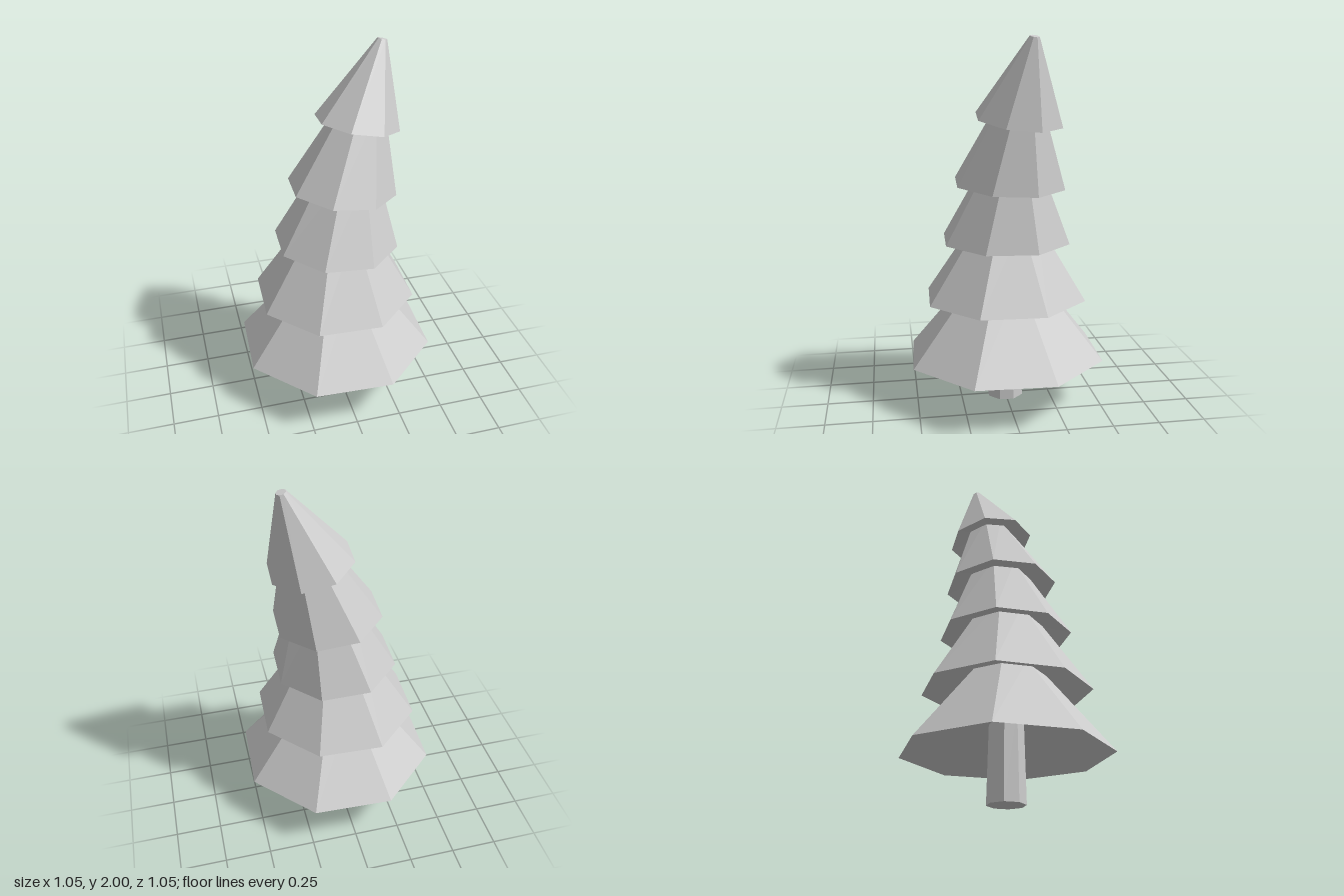
import * as THREE from 'three';

const SIDES = 8;
const TURN = THREE.MathUtils.degToRad(24.7);

// One octagonal cross-section: centre, radius, slope along x and z, squash in x.
function ring(x, y, z, r, sx = 0, sz = 0, squash = 1) {
  const points = [];
  for (let i = 0; i < SIDES; i++) {
    const a = TURN + (i / SIDES) * Math.PI * 2;
    const dx = r * squash * Math.cos(a);
    const dz = r * Math.sin(a);
    points.push(new THREE.Vector3(x + dx, y + sx * dx + sz * dz, z + dz));
  }
  return { points, r };
}

// Skin a stack of cross-sections; a ring of radius 0 closes to a point.
function loft(rings) {
  const pos = [];
  const tri = (a, b, c) => pos.push(...a.toArray(), ...b.toArray(), ...c.toArray());
  for (let k = 0; k < rings.length - 1; k++) {
    const lo = rings[k], hi = rings[k + 1];
    for (let i = 0; i < SIDES; i++) {
      const j = (i + 1) % SIDES;
      if (lo.r > 0) tri(lo.points[i], hi.points[i], lo.points[j]);
      if (hi.r > 0) tri(lo.points[j], hi.points[i], hi.points[j]);
    }
  }
  const geometry = new THREE.BufferGeometry();
  geometry.setAttribute('position', new THREE.Float32BufferAttribute(pos, 3));
  geometry.computeVertexNormals();
  return geometry;
}

// Tiers from bottom to top: rim and upper end as [x, y, z, radius, slopeX, slopeZ, squash]
const TIERS = [
  { rim: [0, 0.255, 0, 0.56], top: [0, 0.72, 0, 0.175] },
  { rim: [-0.003, 0.59, 0, 0.457, 0, 0, 0.99], top: [0.02, 1.04, -0.01, 0.163, -0.045, 0.01] },
  { rim: [0.007, 0.914, -0.003, 0.361, -0.045, 0.01, 0.95], top: [0.083, 1.33, -0.03, 0.16, -0.1, 0.04] },
  { rim: [0.045, 1.228, -0.017, 0.309, -0.1, 0.04, 0.95], top: [0.168, 1.66, -0.06, 0.118, -0.19, 0.09] },
  { rim: [0.136, 1.574, -0.052, 0.236, -0.19, 0.09, 0.95], top: [0.278, 1.993, -0.105, 0.025, -0.25, 0.1] },
];

export function createModel() {
  const tree = new THREE.Group();
  tree.name = 'pineTree';
  const material = new THREE.MeshStandardMaterial({ color: 0xcccccc, flatShading: true });
  const add = (name, rings) => {
    const mesh = new THREE.Mesh(loft(rings), material);
    mesh.name = name;
    tree.add(mesh);
  };

  // Trunk, slightly tapered, running up into the lowest tier
  add('trunk', [
    ring(0, 0, 0, 0),
    ring(0, 0, 0, 0.102),
    ring(0, 0.48, 0, 0.09),
    ring(0, 0.48, 0, 0),
  ]);

  // Branch tiers: hollowed underside, sloping skirt, closed upper end
  TIERS.forEach(({ rim, top }, i) => {
    const [x, y, z, r] = rim;
    const depth = r * 0.34;
    const t = depth / (top[1] - y);
    add(`branchTier${i + 1}`, [
      ring(x + (top[0] - x) * t, y + depth, z + (top[2] - z) * t, 0),
      ring(...rim),
      ring(...top),
      ring(top[0], top[1], top[2], 0),
    ]);
  });

  return tree;
}
